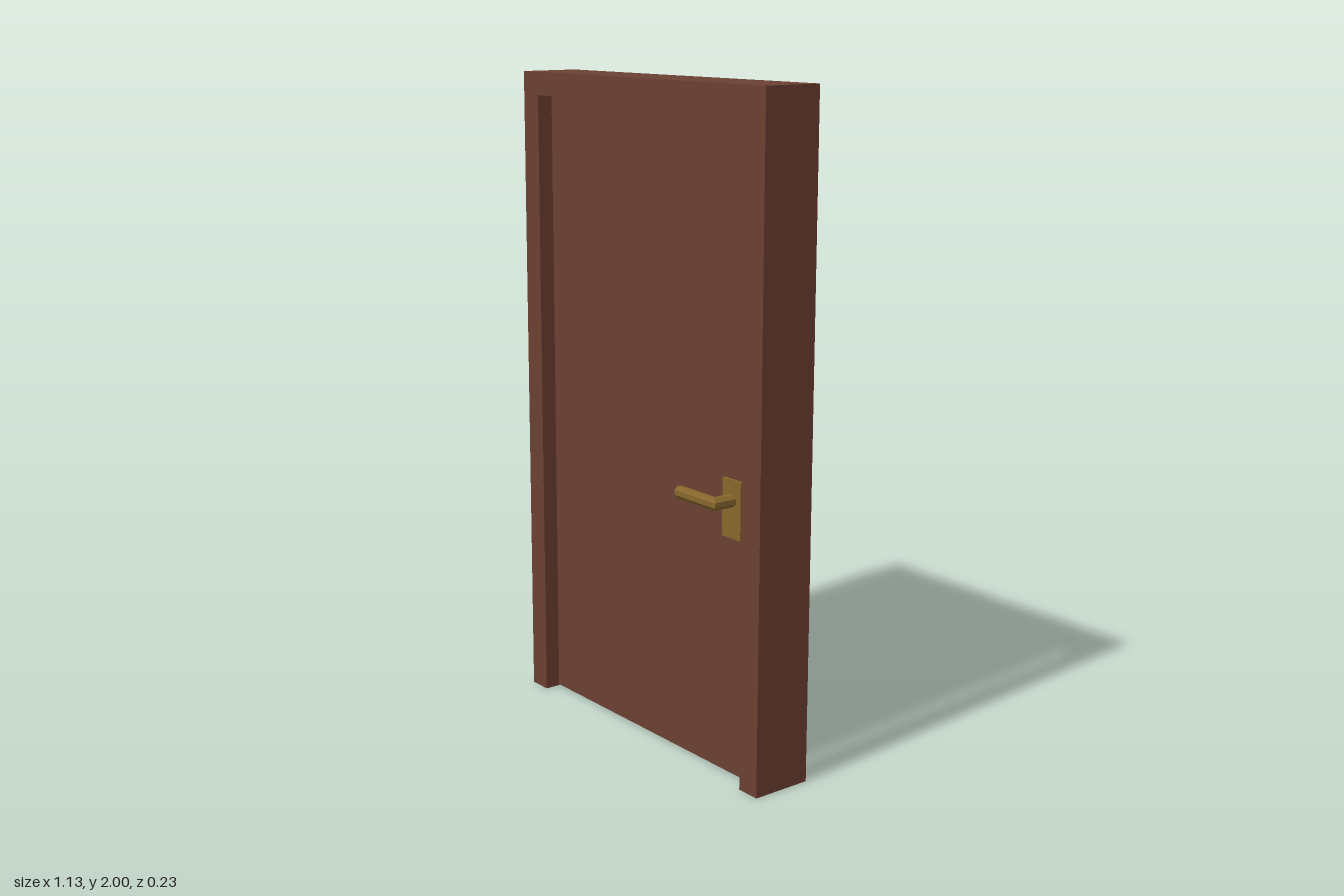
import * as THREE from 'three';

const wood = new THREE.MeshStandardMaterial({ color: 0x6b4033 });
wood.name = 'brown wood';
const brass = new THREE.MeshStandardMaterial({ color: 0x87672b });
brass.name = 'brass';

function part(name, geometry, material) {
  const mesh = new THREE.Mesh(geometry, material);
  mesh.name = name;
  return mesh;
}

// Box given by its limits on each axis
function box(name, [x0, x1], [y0, y1], [z0, z1], material) {
  const geo = new THREE.BoxGeometry(x1 - x0, y1 - y0, z1 - z0);
  geo.translate((x0 + x1) / 2, (y0 + y1) / 2, (z0 + z1) / 2);
  return part(name, geo, material);
}

// Octagonal bar swept through mitred rings: { x, z, nx, nz, s }
function sweptBar(rings, y, ry, sides = 8) {
  const at = (r, i) => {
    const a = (i + 0.5) / sides * Math.PI * 2;
    const k = r.s / Math.cos(Math.PI / sides);
    const u = Math.cos(a) * k;
    return [r.x + r.nx * u, y + Math.sin(a) * ry * k, r.z + r.nz * u];
  };
  const pos = [];
  for (let j = 0; j < rings.length - 1; j++) {
    for (let i = 0; i < sides; i++) {
      const a = at(rings[j], i), b = at(rings[j], i + 1);
      const c = at(rings[j + 1], i + 1), d = at(rings[j + 1], i);
      pos.push(...a, ...b, ...c, ...a, ...c, ...d);
    }
  }
  // Closed tip
  const end = rings[rings.length - 1];
  for (let i = 0; i < sides; i++) pos.push(end.x, y, end.z, ...at(end, i), ...at(end, i + 1));
  const geo = new THREE.BufferGeometry();
  geo.setAttribute('position', new THREE.Float32BufferAttribute(pos, 3));
  geo.computeVertexNormals();
  return geo;
}

export function createModel() {
  const model = new THREE.Group();
  model.name = 'door';

  // Frame: one U-shaped outline, open at the floor
  const outline = [[-0.565, 0], [-0.49, 0], [-0.49, 1.93], [0.49, 1.93],
    [0.49, 0], [0.565, 0], [0.565, 2], [-0.565, 2]];
  const shape = new THREE.Shape(outline.map(([x, y]) => new THREE.Vector2(x, y)));
  const frame = new THREE.ExtrudeGeometry(shape, { depth: 0.19, bevelEnabled: false });
  frame.translate(0, 0, -0.115);
  model.add(part('doorFrame', frame, wood));

  // Door leaf, with a gap on the latch side
  model.add(box('doorLeaf', [-0.49, 0.462], [0.003, 1.93], [-0.065, 0.025], wood));

  // Handle: back plate, then stem and lever in one mitred bar
  const handle = new THREE.Group();
  handle.name = 'handle';
  handle.add(box('handlePlate', [0.355, 0.435], [0.725, 0.897], [0.02, 0.035], brass));
  const rx = 0.018, rz = 0.015, z = 0.097;
  const lever = sweptBar([
    { x: 0.397, z: 0.03, nx: rx, nz: 0, s: 1 },
    { x: 0.397, z, nx: rx, nz: rz, s: 1 },
    { x: 0.234, z, nx: 0, nz: rz, s: 1 },
    { x: 0.224, z, nx: 0, nz: rz, s: 0.5 },
  ], 0.838, 0.018);
  handle.add(part('handleLever', lever, brass));
  model.add(handle);

  return model;
}
